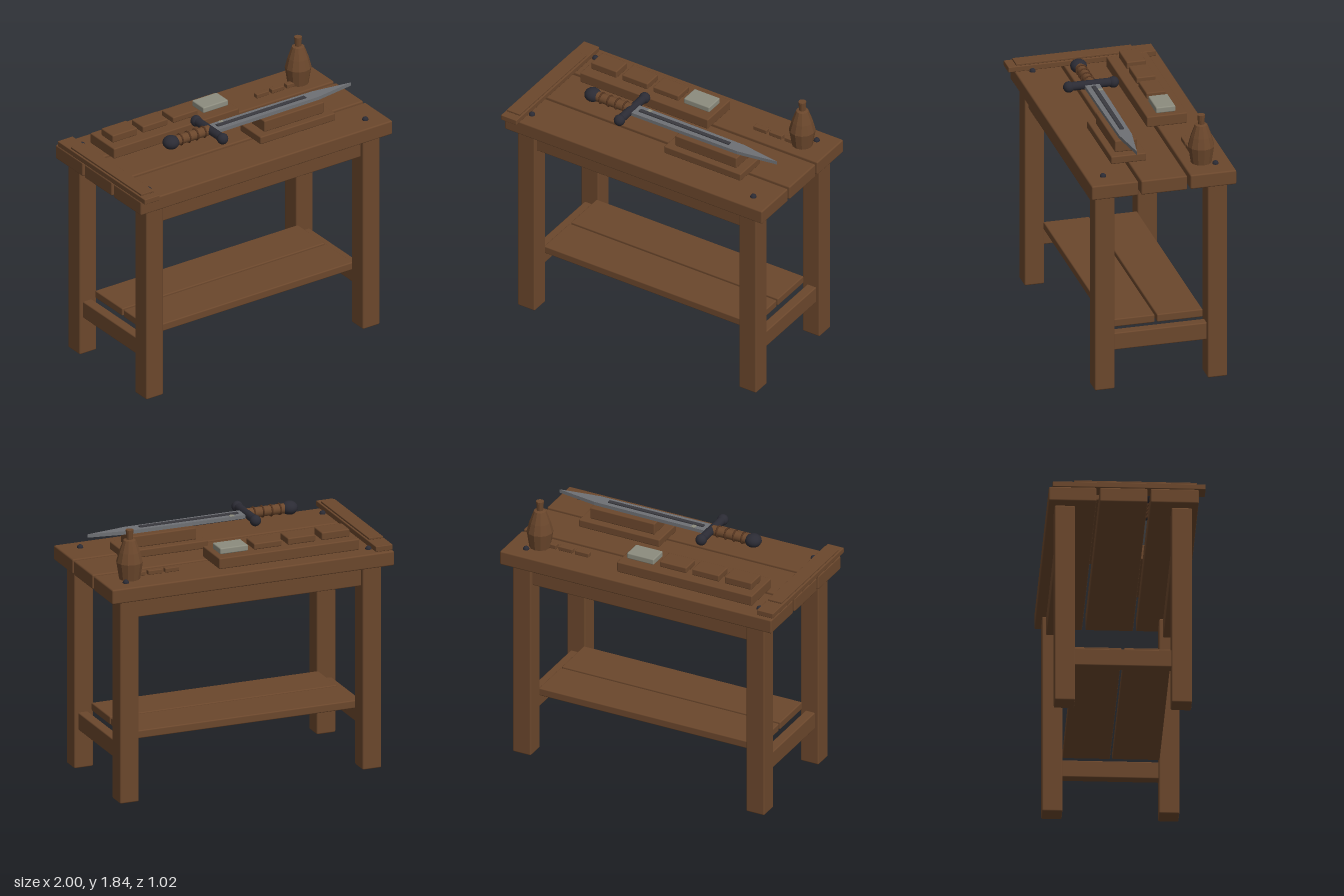
import * as THREE from 'three';
import { RoundedBoxGeometry } from 'three/addons/geometries/RoundedBoxGeometry.js';

function material(name, color) {
  const m = new THREE.MeshStandardMaterial({ color });
  m.name = name;
  return m;
}

export function createModel() {
  const model = new THREE.Group();
  model.name = 'workbench';
  const wood = material('brown wood', 0x6b472c);
  const iron = material('dark iron', 0x2b2b34);
  const steel = material('blade steel', 0x6e7074);
  const groove = material('dark groove', 0x3a3a40);
  const stone = material('pale stone', 0x8c8c7e);
  const binding = material('grip binding', 0x553520);

  function add(name, geometry, mat, x = 0, y = 0, z = 0, parent = model) {
    const mesh = new THREE.Mesh(geometry, mat);
    mesh.name = name;
    mesh.position.set(x, y, z);
    parent.add(mesh);
    return mesh;
  }
  // Softly bevelled box given by its minimum and maximum on each axis
  function block(name, [x0, x1], [y0, y1], [z0, z1], mat = wood, bevel = 0.008) {
    const w = x1 - x0, h = y1 - y0, d = z1 - z0;
    const r = Math.min(bevel, h * 0.25, w * 0.25, d * 0.25);
    return add(name, new RoundedBoxGeometry(w, h, d, 2, r), mat, (x0 + x1) / 2, (y0 + y1) / 2, (z0 + z1) / 2);
  }

  // Table top, three planks
  for (const z of [[0.15, 0.465], [-0.182, 0.13], [-0.515, -0.203]]) block('topPlank', [-1, 1], [1.4, 1.5], z, wood, 0.01);

  // Legs and end stretchers
  const frontZ = 0.357, backZ = -0.407;
  for (const s of [-1, 1]) {
    const span = (a, b) => (s > 0 ? [a, b] : [-b, -a]);
    for (const z of [frontZ, backZ]) block('leg', span(0.793, 0.927), [0, 1.4], [z - 0.067, z + 0.067], wood, 0.01);
    block('endStretcher', span(0.83, 0.9), [0.265, 0.385], [backZ + 0.06, frontZ - 0.06]);
  }
  // Long aprons
  for (const z of [frontZ, backZ]) block('apron', [-0.8, 0.8], [1.265, 1.4], [z - 0.04, z + 0.04]);
  // Lower shelf
  block('shelfPlank', [-0.805, 0.805], [0.385, 0.44], [-0.015, 0.295]);
  block('shelfPlank', [-0.805, 0.805], [0.385, 0.44], [-0.34, -0.03]);

  // Nail heads
  for (const x of [-0.86, 0.86]) for (const z of [0.352, -0.41])
    add('nail', new THREE.SphereGeometry(0.021, 12, 8), iron, x, 1.502, z);

  // Flat strips lying across the end
  block('endStrip', [-1, -0.88], [1.5, 1.538], [-0.49, 0.51], wood, 0.005);
  block('endStripCap', [-0.99, -0.89], [1.538, 1.552], [-0.35, 0.455], wood, 0.003);

  // Tray with four blocks, the last one stone
  block('tray', [-0.8, 0.195], [1.5, 1.575], [-0.405, -0.13]);
  [1.628, 1.622, 1.617, 1.617].forEach((top, i) => {
    const x = -0.76 + i * 0.24;
    block(i === 3 ? 'whetstone' : 'trayBlock', [x, x + 0.198], [1.575, top], [-0.335, -0.203], i === 3 ? stone : wood);
  });

  // Small pegs beside the bottle
  for (let i = 0; i < 3; i++) {
    const x = 0.445 + i * 0.12;
    block('peg', [x, x + 0.1], [1.5, 1.53], [-0.328, -0.289], wood, 0.005);
  }

  // Faceted bottle
  const profile = [[0, 1.5], [0.07, 1.5], [0.088, 1.615], [0.07, 1.685], [0.041, 1.765], [0.021, 1.77], [0.026, 1.835], [0, 1.835]]
    .map(([r, y]) => new THREE.Vector2(r, y));
  const bottle = new THREE.LatheGeometry(profile, 12).toNonIndexed();
  bottle.computeVertexNormals();
  add('bottle', bottle, wood, 0.8, 0, -0.33);

  // Sword rest
  block('restBase', [0.1, 0.695], [1.5, 1.555], [0.012, 0.25]);
  block('restTop', [0.16, 0.635], [1.555, 1.637], [0.057, 0.208]);

  // Sword lying along x
  const sword = new THREE.Group();
  sword.name = 'sword';
  sword.position.set(0, 1.658, 0.132);
  model.add(sword);
  const part = (name, geometry, mat, x, y, z) => add(name, geometry, mat, x, y, z, sword);
  part('pommel', new THREE.SphereGeometry(0.056, 16, 12), iron, -0.53, 0, 0).scale.set(1, 0.82, 1);
  part('grip', new THREE.CylinderGeometry(0.034, 0.034, 0.26, 14).rotateZ(Math.PI / 2), wood, -0.36, 0, 0);
  for (const x of [-0.458, -0.397, -0.336, -0.274])
    part('gripRing', new THREE.TorusGeometry(0.036, 0.006, 6, 16).rotateY(Math.PI / 2), binding, x, 0, 0);
  part('guard', new THREE.CylinderGeometry(0.029, 0.029, 0.3, 14).rotateX(Math.PI / 2), iron, -0.225, 0.002, 0);
  for (const s of [-1, 1]) part('guardKnob', new THREE.SphereGeometry(0.038, 14, 10), iron, -0.225, 0, s * 0.151);

  // Blade outline, thin and pointed
  const outline = [[-0.21, -0.05], [0.15, -0.048], [0.62, -0.043], [0.9, 0], [0.62, 0.043], [0.15, 0.048], [-0.21, 0.05]];
  const shape = new THREE.Shape(outline.map(([x, z]) => new THREE.Vector2(x, z)));
  const blade = new THREE.ExtrudeGeometry(shape, { depth: 0.024, bevelEnabled: false }).rotateX(-Math.PI / 2);
  part('blade', blade, steel, 0, -0.014, 0);
  for (const y of [0.013, -0.017]) part('fuller', new THREE.BoxGeometry(0.7, 0.008, 0.028), groove, 0.185, y, 0);
  const glint = new THREE.BoxGeometry(0.03, 0.003, 0.032);
  part('bladeGlint', glint, stone, -0.108, 0.011, -0.031).rotation.y = -0.15;

  return model;
}
